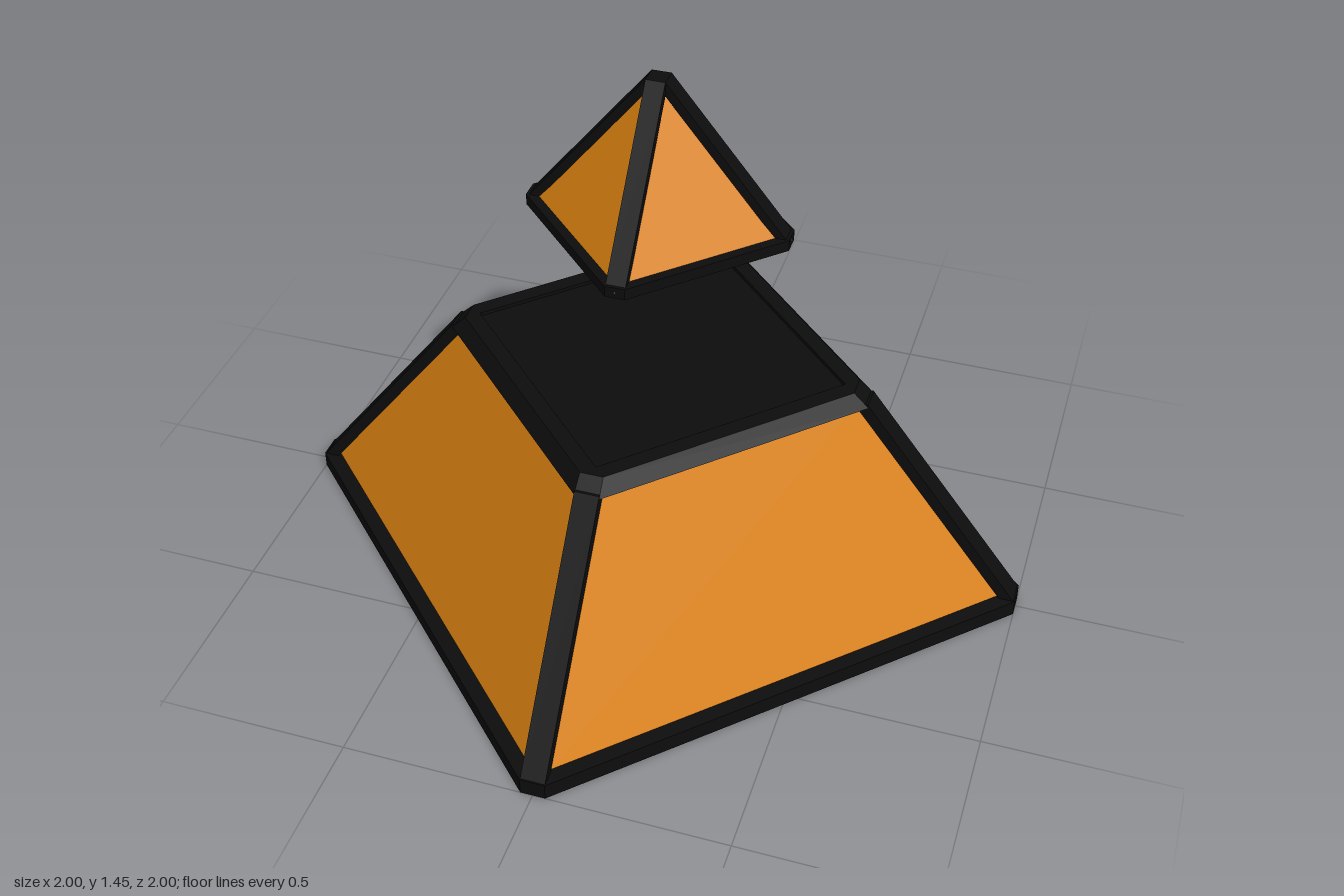
import * as THREE from 'three';

const orange = new THREE.MeshStandardMaterial({ color: 0xd88010, flatShading: true, side: THREE.DoubleSide });
const black = new THREE.MeshStandardMaterial({ color: 0x0d0d0d, flatShading: true });

function add(parent, name, geometry, material) {
  const mesh = new THREE.Mesh(geometry, material);
  mesh.name = name;
  parent.add(mesh);
  return mesh;
}

// Four-sided frustum with its corners on the x and z axes
function panels(rBottom, rTop, y0, y1, open) {
  return new THREE.CylinderGeometry(rTop, rBottom, y1 - y0, 4, 1, open).translate(0, (y0 + y1) / 2, 0);
}

// Diamond frame with blunt corners; the outside tapers from rBottom to rTop
function frame(rBottom, rTop, rHole, halfWidth, y0, y1) {
  const r = rBottom, w = halfWidth;
  const shape = new THREE.Shape([[r, -w], [r, w], [w, r], [-w, r], [-r, w], [-r, -w], [-w, -r], [w, -r]]
    .map(([x, y]) => new THREE.Vector2(x, y)));
  shape.holes.push(new THREE.Path([[rHole, 0], [0, -rHole], [-rHole, 0], [0, rHole]]
    .map(([x, y]) => new THREE.Vector2(x, y))));
  const geo = new THREE.ExtrudeGeometry(shape, { depth: y1 - y0, bevelEnabled: false });
  const p = geo.attributes.position;
  for (let i = 0; i < p.count; i++) {
    const x = p.getX(i), y = p.getY(i);
    if (p.getZ(i) > 0 && Math.hypot(x, y) > rHole + 0.01) {
      p.setXY(i, x * rTop / rBottom, y * rTop / rBottom);
    }
  }
  geo.rotateX(-Math.PI / 2).translate(0, y0, 0);
  geo.computeVertexNormals();
  return geo;
}

// Flat-faced bars running up the four slanted corners
function cornerBars(parent, r0, y0, r1, y1, halfWidth) {
  const d = halfWidth * 1.2;
  const shape = new THREE.Shape([[r0, y0], [r1, y1], [r1 - d, y1], [r0 - d, y0]]
    .map(([x, y]) => new THREE.Vector2(x, y)));
  const geo = new THREE.ExtrudeGeometry(shape, { depth: halfWidth * 2, bevelEnabled: false });
  geo.translate(0, 0, -halfWidth);
  for (let i = 0; i < 4; i++) {
    add(parent, 'cornerBar', geo, black).rotation.y = i * Math.PI / 2;
  }
}

export function createModel() {
  const model = new THREE.Group();

  // Truncated base with a dark top
  const base = new THREE.Group();
  base.name = 'base';
  add(base, 'basePanels', panels(1.0, 0.552, 0.012, 0.61, false), orange);
  add(base, 'bottomFrame', frame(1.0, 1.0, 0.975, 0.032, 0, 0.045), black);
  add(base, 'topFrame', frame(0.57, 0.53, 0.5, 0.032, 0.597, 0.635), black);
  add(base, 'topPanel', panels(0.52, 0.52, 0.605, 0.625, false), black);
  cornerBars(base, 1.0, 0.04, 0.568, 0.605, 0.032);
  model.add(base);

  // Floating hollow cap, open underneath
  const cap = new THREE.Group();
  cap.name = 'cap';
  add(cap, 'capPanels', panels(0.345, 0, 1.045, 1.44, true), orange);
  add(cap, 'capLining', panels(0.312, 0, 1.04, 1.4, true), orange);
  add(cap, 'capFrame', frame(0.342, 0.342, 0.312, 0.025, 1.03, 1.06), black);
  cornerBars(cap, 0.342, 1.05, 0.025, 1.445, 0.025);
  model.add(cap);

  return model;
}
